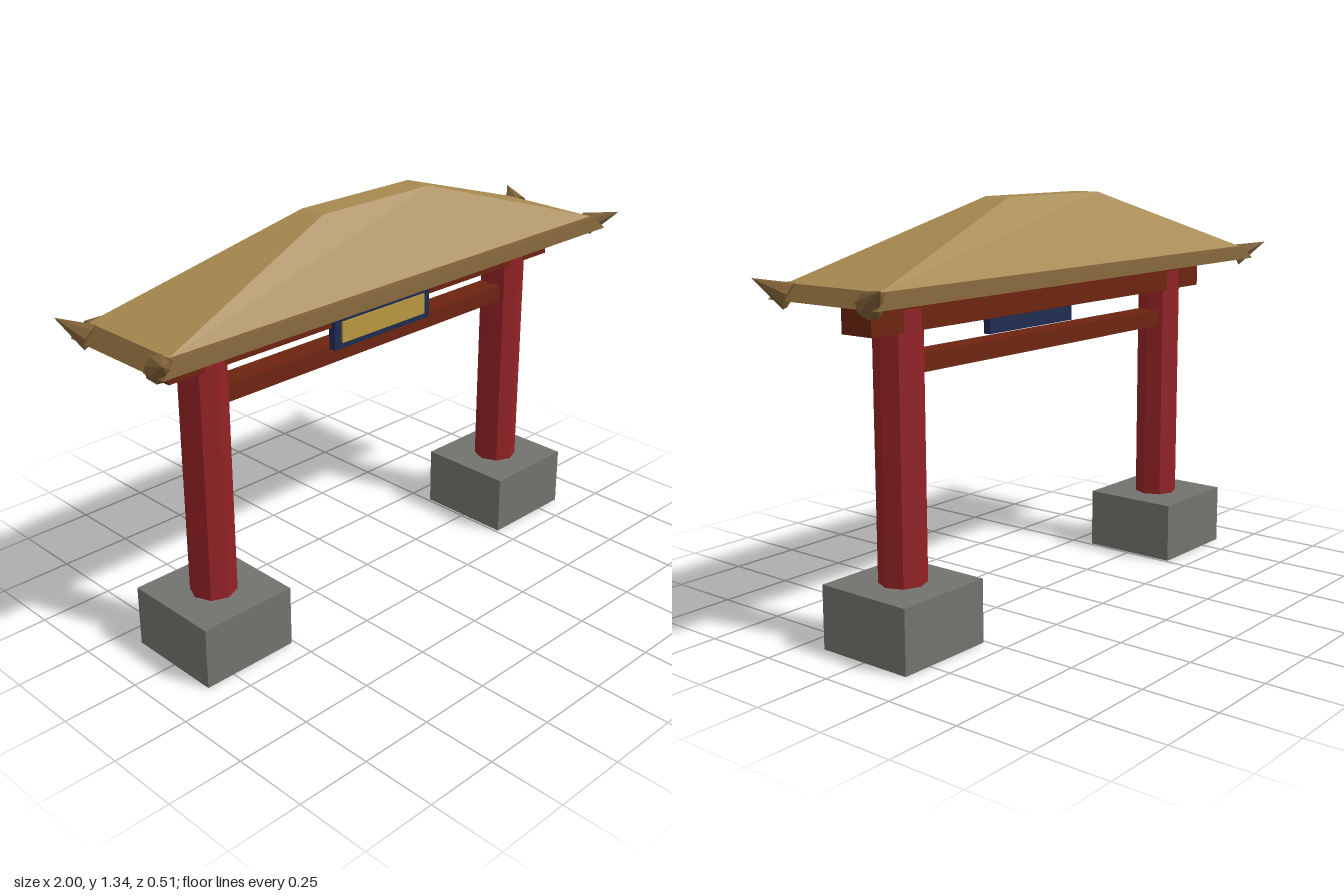
import * as THREE from 'three';

const paint = (name, color) => {
  const m = new THREE.MeshStandardMaterial({ color });
  m.name = name;
  return m;
};

export function createModel() {
  const group = new THREE.Group();
  const stone = paint('stone grey', 0x72736e);
  const red = paint('post red', 0x942226);
  const timber = paint('beam brown', 0x6e2410);
  const tile = paint('roof tan', 0xa78950);
  const eaveBrown = paint('eave brown', 0x7f6137);
  const navy = paint('navy', 0x1f2b50);
  const gold = paint('gold', 0xba983f);

  const add = (name, geometry, material, x = 0, y = 0, z = 0) => {
    // split the vertices so that every face is flat
    const flat = geometry.index ? geometry.toNonIndexed() : geometry;
    flat.computeVertexNormals();
    const mesh = new THREE.Mesh(flat, material);
    mesh.name = name;
    mesh.position.set(x, y, z);
    group.add(mesh);
    return mesh;
  };
  const box = (name, material, w, y0, y1, d, x = 0, z = 0) =>
    add(name, new THREE.BoxGeometry(w, y1 - y0, d), material, x, (y0 + y1) / 2, z);

  // Four-sided frustum with a rectangular plan; the top is the base times ratio
  const frustum = (name, material, halfX, halfZ, ratio, y0, y1) =>
    add(name, new THREE.CylinderGeometry(ratio * Math.SQRT2, Math.SQRT2, y1 - y0, 4)
      .rotateY(Math.PI / 4).scale(halfX, 1, halfZ), material, 0, (y0 + y1) / 2, 0);

  // Stone footings and octagonal posts
  for (const [side, s] of [['left', 1], ['right', -1]]) {
    box(side + 'Footing', stone, 0.34, 0, 0.205, 0.34, s * 0.68);
    add(side + 'Post', new THREE.CylinderGeometry(0.075, 0.075, 0.835, 8), red, s * 0.68, 0.6175, 0);
  }

  // Cross beams
  box('upperBeam', timber, 1.69, 0.97, 1.075, 0.12);
  box('lowerBeam', timber, 1.236, 0.84, 0.897, 0.082);

  // Sign board with a plain gold panel
  box('signFrame', navy, 0.43, 0.897, 1.01, 0.026, 0, 0.061);
  box('signPanel', gold, 0.372, 0.917, 0.986, 0.007, 0, 0.0765);

  // Eave slab and hipped roof
  frustum('eave', eaveBrown, 0.975, 0.217, 0.954, 1.07, 1.115);
  frustum('roof', tile, 0.93, 0.186, 0.25, 1.115, 1.335);

  // Upturned corner tips
  const up = new THREE.Vector3(0, 1, 0);
  for (const sx of [1, -1]) for (const sz of [1, -1]) {
    const base = new THREE.Vector3(sx * 0.945, 1.08, sz * 0.16);
    const apex = new THREE.Vector3(sx, 1.13, sz * 0.255);
    const axis = apex.clone().sub(base);
    const tip = add('cornerTip', new THREE.ConeGeometry(0.042, axis.length(), 8), eaveBrown);
    tip.position.copy(base).add(apex).multiplyScalar(0.5);
    tip.quaternion.setFromUnitVectors(up, axis.normalize());
  }
  return group;
}
